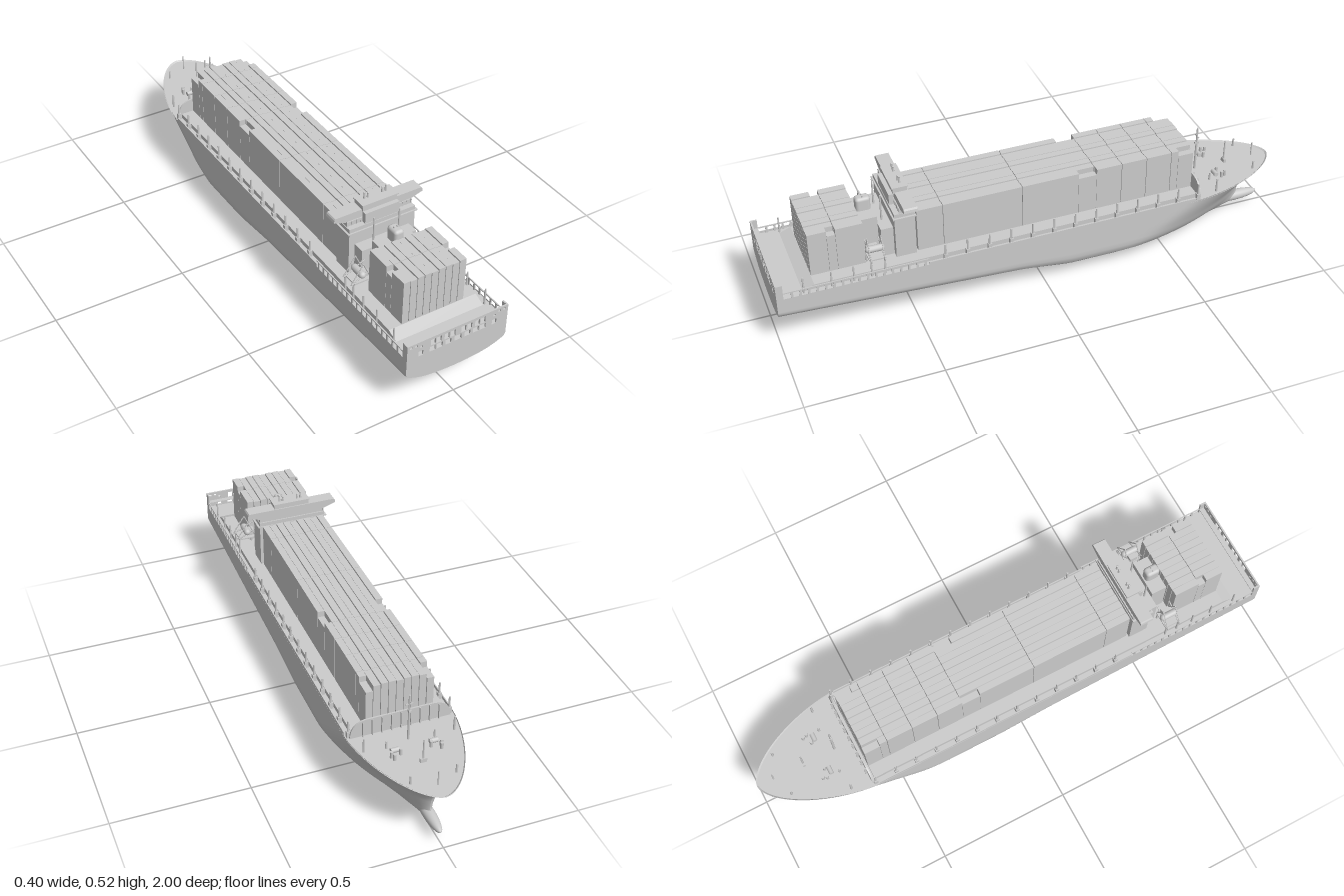
import * as THREE from 'three';
import { RoundedBoxGeometry } from 'three/addons/geometries/RoundedBoxGeometry.js';

const grey = new THREE.MeshStandardMaterial({ color: 0xcccccc, side: THREE.DoubleSide });
const DECK = 0.23;

// Piecewise-linear lookup in [[x, y], ...] with ascending x
function table(points, x) {
  if (x <= points[0][0]) return points[0][1];
  for (let i = 1; i < points.length; i++) {
    const [x0, y0] = points[i - 1], [x1, y1] = points[i];
    if (x <= x1) return y0 + (y1 - y0) * (x - x0) / (x1 - x0);
  }
  return points[points.length - 1][1];
}

// Hull rules: keel height along z, section half width and stem position by level t (0 keel, 1 deck)
const KEEL = [[-1, 0.03], [-0.89, 0.024], [-0.6, 0.009], [-0.35, 0.002], [-0.1, 0.004], [0.1, 0.04], [1, 0.12]];
const SECTION = [[0, 0], [0.015, 0.05], [0.05, 0.095], [0.1, 0.13], [0.2, 0.166], [0.32, 0.195], [0.42, 0.2], [1, 0.2]];
const STEM = [[0, -0.9], [0.25, -0.885], [0.45, -0.89], [0.6, -0.905], [0.8, -0.95], [1, -1]];
const LEVELS = [0, 0.015, 0.05, 0.1, 0.15, 0.2, 0.26, 0.32, 0.42, 0.5, 0.6, 0.7, 0.8, 0.9, 1];

function hullPoint(t, s) {
  const end = table(STEM, t);
  const z = 1 + (end - 1) * s;
  const start = THREE.MathUtils.lerp(-0.2, -0.6, t);
  const u = THREE.MathUtils.clamp((start - z) / (start - end), 0, 1);
  const taper = Math.pow(1 - Math.pow(u, 1.6), THREE.MathUtils.lerp(0.85, 0.6, t));
  const keel = table(KEEL, z);
  return new THREE.Vector3(table(SECTION, t) * taper, keel + (DECK - keel) * t, z);
}

const STATIONS = 70;
const station = k => 1 - Math.pow(1 - k / STATIONS, 1.6);

function hullRing(s) {
  const half = LEVELS.map(t => hullPoint(t, s));
  const port = half.slice(1).reverse().map(p => new THREE.Vector3(-p.x, p.y, p.z));
  return [...port, ...half];
}

function hullGeometry() {
  const positions = [], index = [];
  const n = LEVELS.length * 2 - 1;
  for (let k = 0; k <= STATIONS; k++) {
    hullRing(station(k)).forEach(p => positions.push(p.x, p.y, p.z));
    if (k === STATIONS) break;
    for (let i = 0; i < n - 1; i++) {
      const a = k * n + i, b = a + n;
      index.push(a, b, a + 1, b, b + 1, a + 1);
    }
  }
  const g = new THREE.BufferGeometry();
  g.setAttribute('position', new THREE.Float32BufferAttribute(positions, 3));
  g.setIndex(index);
  g.computeVertexNormals();
  return g;
}

export function createModel() {
  const ship = new THREE.Group();
  ship.name = 'containerShip';

  function add(name, geometry, x = 0, y = 0, z = 0, parent = ship) {
    const m = new THREE.Mesh(geometry, grey);
    m.name = name;
    m.position.set(x, y, z);
    parent.add(m);
    return m;
  }
  // Box given by its limits on each axis
  const box = (name, x0, x1, y0, y1, z0, z1, parent) => add(name,
    new THREE.BoxGeometry(x1 - x0, y1 - y0, z1 - z0), (x0 + x1) / 2, (y0 + y1) / 2, (z0 + z1) / 2, parent);
  const post = (name, x, z, y0, y1, r, parent) => add(name,
    new THREE.CylinderGeometry(r * 0.7, r, y1 - y0, 8), x, (y0 + y1) / 2, z, parent);
  // Thin rod between two points
  function rod(name, a, b, r) {
    const m = add(name, new THREE.CylinderGeometry(r, r, a.distanceTo(b), 6));
    m.position.copy(a).add(b).multiplyScalar(0.5);
    m.quaternion.setFromUnitVectors(new THREE.Vector3(0, 1, 0), b.clone().sub(a).normalize());
  }
  const V = (x, y, z) => new THREE.Vector3(x, y, z);
  const extrude = (shape, depth) => new THREE.ExtrudeGeometry(shape, { depth, bevelEnabled: false });
  const polygon = pts => new THREE.Shape(pts.map(p => new THREE.Vector2(p[0], p[1])));

  // Hull shell, transom, bulb and deck
  add('hull', hullGeometry());
  add('transom', new THREE.ShapeGeometry(polygon(hullRing(0).map(p => [p.x, p.y]))), 0, 0, 1);
  const bulb = add('bulbousBow', new THREE.SphereGeometry(1, 24, 16), 0, 0.047, -0.875);
  bulb.scale.set(0.022, 0.021, 0.1);
  const edge = [];
  for (let k = 0; k <= STATIONS; k++) edge.push(hullPoint(1, station(k)));
  const outline = [...edge.map(p => [p.x, -p.z]), ...edge.slice(0, -1).reverse().map(p => [-p.x, -p.z])];
  add('deck', new THREE.ShapeGeometry(polygon(outline)), 0, DECK - 0.005, 0).rotation.x = -Math.PI / 2;

  // Raised cargo deck with a sloping after end
  const coaming = extrude(polygon([[-0.91, 0.222], [0.61, 0.222], [0.61, 0.243], [-0.86, 0.243]]), 0.35);
  add('cargoDeck', coaming, -0.175, 0, 0).rotation.y = Math.PI / 2;
  ship.getObjectByName('cargoDeck').position.set(-0.175, 0, 0);

  // Stern bulwark with two rows of openings
  const wall = polygon([[-0.2, 0.226], [0.2, 0.226], [0.2, 0.29], [-0.2, 0.29]]);
  const hole = (x, y, w, h) => wall.holes.push(polygon(
    [[x - w / 2, y - h / 2], [x - w / 2, y + h / 2], [x + w / 2, y + h / 2], [x + w / 2, y - h / 2]]));
  for (const s of [-1, 1]) {
    for (const x of [0.021, 0.045, 0.076, 0.099]) hole(s * x, 0.267, 0.019, 0.024);
    for (const x of [0.038, 0.072, 0.1]) hole(s * x, 0.24, 0.023, 0.02);
    hole(s * 0.146, 0.24, 0.018, 0.02);
    for (const [x, y] of [[0.145, 0.268], [0.165, 0.278], [0.185, 0.278]]) hole(s * x, y, 0.01, 0.007);
  }
  hole(0, 0.24, 0.028, 0.02);
  add('sternBulwark', extrude(wall, 0.006), 0, 0, 0.994);
  box('mooringShelf', -0.195, 0.195, 0.252, 0.255, 0.975, 0.995);

  // Side bulwarks aft, low rails and stanchions on both sides
  for (const s of [-1, 1]) {
    box('sternSideWall', s * 0.197 - 0.003, s * 0.197 + 0.003, 0.226, 0.29, 0.975, 1);
    box('sideRail', s * 0.197 - 0.002, s * 0.197 + 0.002, 0.251, 0.255, 0.45, 0.98);
    for (let z = 0.46; z < 0.97; z += 0.03) box('railPost', s * 0.197 - 0.002, s * 0.197 + 0.002, 0.225, 0.252, z, z + 0.008);
    box('lowRail', s * 0.196 - 0.002, s * 0.196 + 0.002, 0.226, 0.238, -0.6, 0.45);
    for (let i = 0; i < 13; i++) {
      const z = 0.385 - i * 0.083;
      post('deckPost', s * 0.186, z, 0.225, 0.292, 0.005);
      box('postFoot', s * 0.186 - 0.007, s * 0.186 + 0.007, 0.225, 0.25, z - 0.007, z + 0.007);
    }
    for (const z of [0.9, 0.8, 0.72]) post('sternPost', s * 0.183, z, 0.225, 0.29, 0.004);
  }

  // Container stacks: nine columns in bays, with some lower ends on the outer columns
  const COLS = 9, PITCH = 0.0278;
  function bay(z0, z1, lowFrom, lowTo) {
    const g = new THREE.Group();
    g.name = 'containerBay';
    ship.add(g);
    for (let c = 0; c < COLS; c++) {
      const x = (c - (COLS - 1) / 2) * PITCH, w = PITCH / 2 - 0.0012;
      const outer = c === 0 || c === COLS - 1;
      const top = 0.417 - (c % 3 === 1 ? 0.003 : 0);
      let front = z0;
      if (outer && lowFrom !== undefined) {
        box('lowContainer', x - w, x + w, 0.24, 0.395, lowFrom, lowTo, g);
        front = lowTo;
      }
      box('container', x - w, x + w, 0.24, top, front + 0.001, z1 - 0.001, g);
    }
  }
  bay(0.37, 0.468);
  bay(0.07, 0.37);
  bay(-0.22, 0.07, -0.22, -0.22 + 0.0001 + 0.0699);
  for (const z of [-0.32, -0.42, -0.52]) bay(z, z + 0.1);
  bay(-0.61, -0.52, -0.61, -0.55);
  bay(0.66, 0.76);
  bay(0.76, 0.86, 0.76, 0.79);

  // Accommodation tower and bridge
  box('tower', -0.133, 0.133, 0.24, 0.428, 0.475, 0.55);
  box('towerLedge', -0.141, 0.141, 0.409, 0.413, 0.472, 0.556);
  box('bridgeWindows', -0.128, 0.128, 0.428, 0.445, 0.48, 0.53);
  for (let i = 0; i <= 14; i++) {
    const x = -0.13 + i * 0.26 / 14;
    box('windowMullion', x - 0.001, x + 0.001, 0.428, 0.446, 0.478, 0.532);
  }
  const wing = polygon([[-0.13, 0.443], [0.13, 0.443], [0.18, 0.459], [0.178, 0.469], [0.174, 0.475],
    [-0.174, 0.475], [-0.178, 0.469], [-0.18, 0.459]]);
  add('bridgeWings', extrude(wing, 0.05), 0, 0, 0.476);
  box('topHouse', -0.069, 0.069, 0.47, 0.493, 0.48, 0.532);
  box('topRoof', -0.073, 0.073, 0.492, 0.496, 0.477, 0.536);
  box('bridgeBackHouse', -0.069, 0.069, 0.4, 0.47, 0.53, 0.548);
  for (const s of [-1, 1]) for (const [x, h] of [[0.029, 0.518], [0.043, 0.523]]) {
    post('radarMast', s * x, 0.5, 0.495, h - 0.003, 0.0045);
    add('radarDome', new THREE.SphereGeometry(0.004, 10, 8), s * x, h - 0.004, 0.5);
  }

  // Engine casing and funnel
  box('afterHouse', -0.11, 0.11, 0.24, 0.36, 0.55, 0.595);
  box('engineCasing', -0.07, 0.07, 0.24, 0.39, 0.595, 0.655);
  add('funnel', new RoundedBoxGeometry(0.038, 0.09, 0.055, 3, 0.012), 0, 0.396, 0.628);
  for (const x of [-0.007, 0.007]) post('exhaustPipe', x, 0.628, 0.43, 0.446, 0.004);

  // Lifeboats, davits and side stairs
  for (const s of [-1, 1]) {
    post('aerial', s * 0.051, 0.575, 0.36, 0.465, 0.004);
    box('boatPlatform', s * 0.145 - 0.035, s * 0.145 + 0.035, 0.288, 0.293, 0.6, 0.66);
    for (const z of [0.605, 0.655]) {
      rod('davitArm', V(s * 0.112, 0.293, z), V(s * 0.143, 0.36, z), 0.0025);
      rod('davitStay', V(s * 0.143, 0.36, z), V(s * 0.19, 0.29, z), 0.002);
      rod('davitRail', V(s * 0.105, 0.33, z), V(s * 0.19, 0.288, z), 0.0025);
      for (const x of [0.115, 0.18]) post('platformLeg', s * x, z, 0.225, 0.29, 0.004);
    }
    const boat = add('lifeboat', new THREE.CapsuleGeometry(0.013, 0.045, 6, 12), s * 0.146, 0.315, 0.63);
    boat.rotation.x = Math.PI / 2;
    box('boatWinch', s * 0.125 - 0.012, s * 0.125 + 0.012, 0.293, 0.315, 0.615, 0.645);
  }

  // Breakwater with rounded shoulders and ribs
  const water = new THREE.Shape();
  water.moveTo(-0.185, 0.224);
  water.quadraticCurveTo(-0.183, 0.29, -0.12, 0.292);
  water.lineTo(0.12, 0.292);
  water.quadraticCurveTo(0.183, 0.29, 0.185, 0.224);
  add('breakwater', extrude(water, 0.006), 0, 0, -0.624);
  for (let i = -4; i <= 4; i++) {
    const x = i * 0.035;
    box('breakwaterRib', x - 0.0015, x + 0.0015, 0.225, Math.abs(i) === 4 ? 0.285 : 0.29, -0.632, -0.624);
  }

  // Foremast and forecastle fittings
  post('foremast', 0, -0.69, 0.225, 0.41, 0.005);
  box('mastYard', -0.014, 0.014, 0.372, 0.375, -0.692, -0.688);
  box('mastLamp', -0.004, 0.004, 0.34, 0.348, -0.698, -0.682);
  post('bowMast', 0, -0.815, 0.225, 0.32, 0.004);
  box('bowMastFoot', -0.012, 0.012, 0.225, 0.24, -0.82, -0.81);
  post('jackStaff', 0, -0.935, 0.225, 0.285, 0.003);
  for (const s of [-1, 1]) {
    for (const [x, z, h] of [[0.082, -0.9, 0.258], [0.165, -0.7, 0.28], [0.088, -0.71, 0.255]]) {
      post('bowPost', s * x, z, 0.225, h, 0.005);
    }
    for (const [x, z] of [[0.09, -0.76], [0.055, -0.755], [0.085, -0.775]]) {
      add('bollard', new THREE.CylinderGeometry(0.006, 0.006, 0.025, 10), s * x, 0.237, z);
    }
    const winch = add('windlass', new THREE.CylinderGeometry(0.009, 0.009, 0.03, 12), s * 0.07, 0.236, -0.74);
    winch.rotation.z = Math.PI / 2;
  }
  return ship;
}
